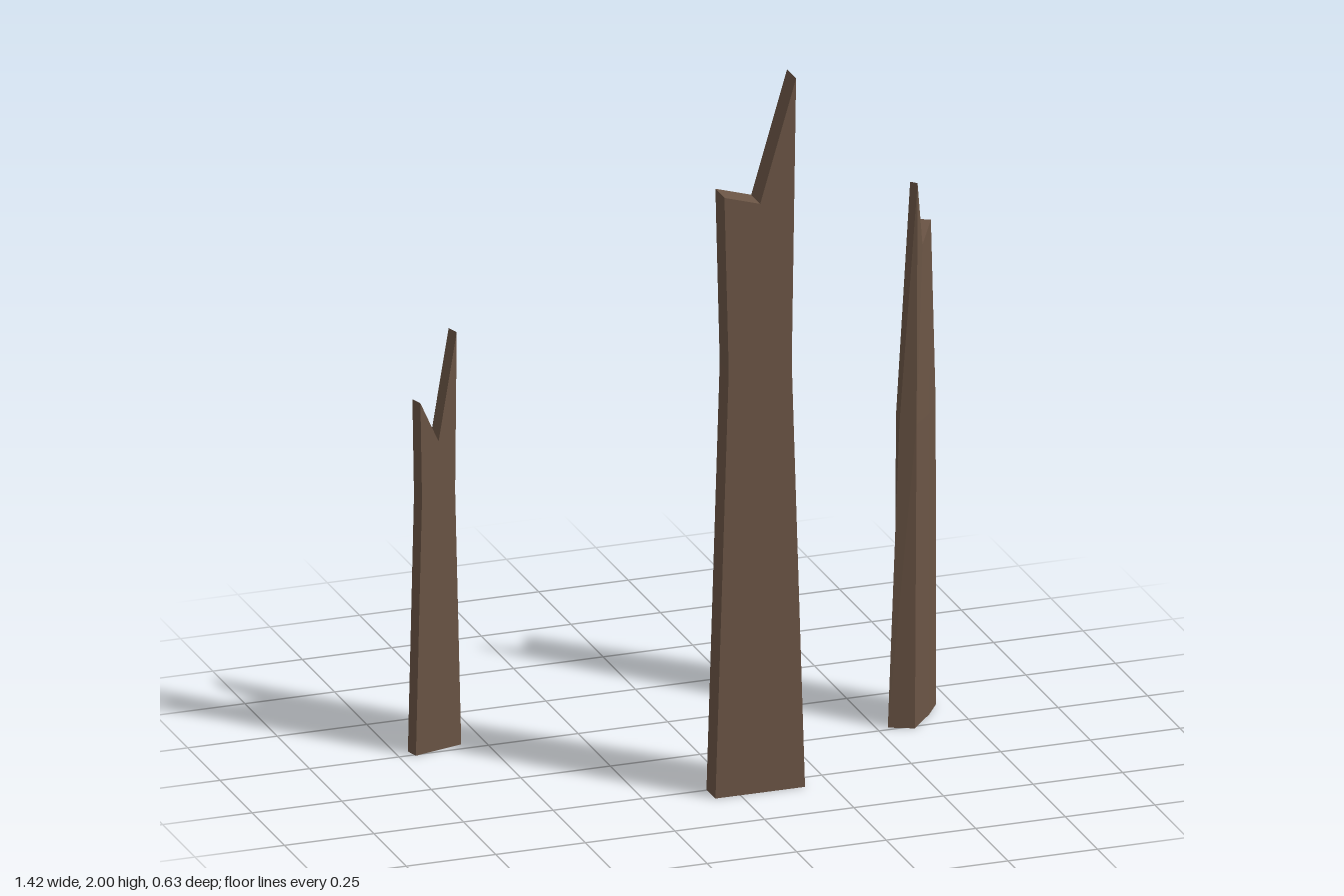
import * as THREE from 'three';

const wood = new THREE.MeshStandardMaterial({ color: 0x6b5545, flatShading: true });
wood.name = 'weathered wood';

// Flat board with a broken top, cut from a front outline
function board(name, outline, thickness) {
  const shape = new THREE.Shape(outline.map(([x, y]) => new THREE.Vector2(x, y)));
  const geometry = new THREE.ExtrudeGeometry(shape, { depth: thickness, bevelEnabled: false });
  geometry.translate(0, 0, -thickness / 2);
  const mesh = new THREE.Mesh(geometry, wood);
  mesh.name = name;
  return mesh;
}

// Closed loft through rings of six [x, y, z] points; caps join the two long sides
function splitTrunk(name, rings) {
  const n = rings[0].length;
  const positions = [];
  const quad = (a, b, c, d) => positions.push(...a, ...b, ...c, ...a, ...c, ...d);
  for (let r = 0; r < rings.length - 1; r++) {
    for (let i = 0; i < n; i++) {
      const j = (i + 1) % n;
      quad(rings[r][i], rings[r][j], rings[r + 1][j], rings[r + 1][i]);
    }
  }
  const top = rings[rings.length - 1];
  const base = rings[0];
  for (let i = 0; i < n / 2 - 1; i++) {
    quad(top[i], top[i + 1], top[n - 2 - i], top[n - 1 - i]);
    quad(base[n - 1 - i], base[n - 2 - i], base[i + 1], base[i]);
  }
  const geometry = new THREE.BufferGeometry();
  geometry.setAttribute('position', new THREE.Float32BufferAttribute(positions, 3));
  geometry.computeVertexNormals();
  const mesh = new THREE.Mesh(geometry, wood);
  mesh.name = name;
  return mesh;
}

export function createModel() {
  const group = new THREE.Group();
  group.name = 'brokenPosts';

  // Tall middle board, waisted, with a long splinter on one side
  const tall = board('tallPost', [
    [-0.125, 0], [0.125, 0], [0.088, 1.2], [0.1, 2],
    [0, 1.66], [-0.1, 1.69], [-0.088, 1.2],
  ], 0.07);
  tall.position.set(0.055, 0, 0.28);
  group.add(tall);

  // Short thin board, turned slightly
  const short = board('shortPost', [
    [-0.0725, 0], [0.0725, 0], [0.053, 0.72], [0.058, 1.165],
    [0, 0.87], [-0.058, 0.99], [-0.053, 0.72],
  ], 0.037);
  short.position.set(-0.64, 0, -0.28);
  short.rotation.y = THREE.MathUtils.degToRad(15);
  group.add(short);

  // Thick, bowed post: outer side front to back, then inner side back to front
  group.add(splitTrunk('bowedPost', [
    [[0.595, 0, 0.015], [0.667, 0, -0.071], [0.707, 0, -0.132],
      [0.645, 0, -0.149], [0.575, 0, -0.092], [0.53, 0, -0.015]],
    [[0.605, 0.85, 0], [0.665, 0.85, -0.067], [0.705, 0.85, -0.13],
      [0.652, 0.85, -0.145], [0.58, 0.85, -0.09], [0.565, 0.85, -0.022]],
    [[0.612, 1.525, -0.012], [0.643, 1.33, -0.06], [0.686, 1.375, -0.114],
      [0.66, 1.375, -0.128], [0.607, 1.33, -0.08], [0.597, 1.525, -0.028]],
  ]));

  return group;
}
